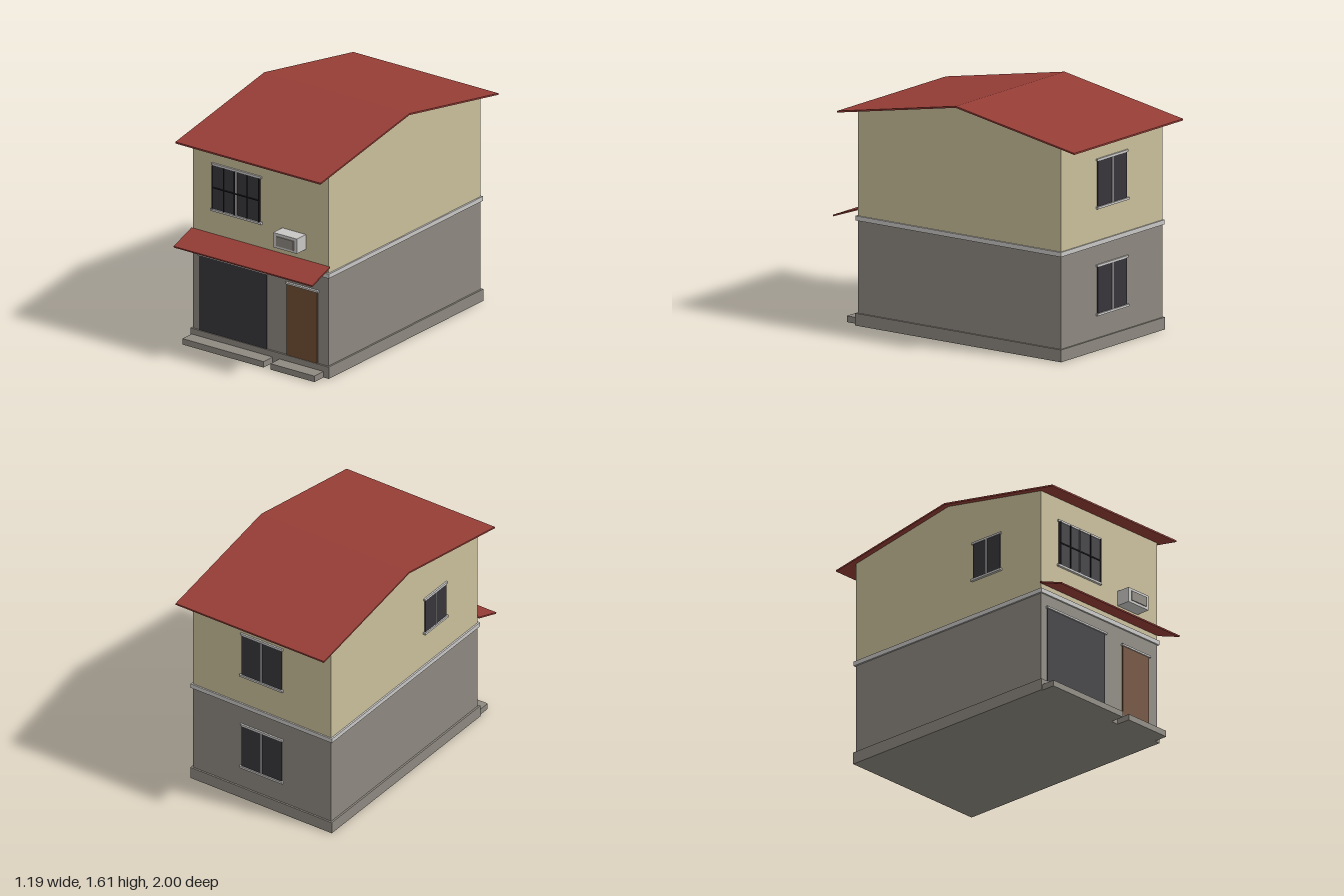
import * as THREE from 'three';

const paint = (name, color) => {
  const m = new THREE.MeshStandardMaterial({ color });
  m.name = name;
  return m;
};

export function createModel() {
  const house = new THREE.Group();
  house.name = 'house';

  const cream = paint('cream plaster', 0xc9be9a);
  const stone = paint('grey masonry', 0x8d8880);
  const trim = paint('pale trim', 0xc8c7c5);
  const red = paint('red roofing', 0x963d36);
  const glass = paint('dark glass', 0x37353b);
  const iron = paint('black iron', 0x1d1d21);
  const wood = paint('brown wood', 0x704d33);

  // Box given by its minimum and maximum on each axis
  function box(name, mat, x0, x1, y0, y1, z0, z1, parent = house) {
    const mesh = new THREE.Mesh(new THREE.BoxGeometry(x1 - x0, y1 - y0, z1 - z0), mat);
    mesh.position.set((x0 + x1) / 2, (y0 + y1) / 2, (z0 + z1) / 2);
    mesh.name = name;
    parent.add(mesh);
    return mesh;
  }

  // Profile of [z, y] points extruded across the width of the house
  function across(name, mat, points, halfWidth) {
    const shape = new THREE.Shape(points.map(([z, y]) => new THREE.Vector2(z, y)));
    const geo = new THREE.ExtrudeGeometry(shape, { depth: halfWidth * 2, bevelEnabled: false });
    geo.rotateY(-Math.PI / 2).translate(halfWidth, 0, 0);
    const mesh = new THREE.Mesh(geo, mat);
    mesh.name = name;
    house.add(mesh);
  }

  const W = 0.555, FRONT = 0.805, BACK = -0.86, RIDGE = -0.0275;

  // Ground floor, plinth, steps and string course
  box('groundFloorWalls', stone, -W, W, 0.083, 0.71, BACK, FRONT);
  box('plinth', stone, -0.568, 0.568, 0, 0.083, -0.872, 0.818);
  box('garageStep', stone, -0.557, 0.108, 0, 0.042, 0.818, 0.918);
  box('doorStep', stone, 0.165, 0.525, 0, 0.042, 0.818, 0.918);
  box('stringCourse', trim, -0.567, 0.567, 0.71, 0.741, -0.87, 0.817);

  // Upper floor with gables
  across('upperFloorWalls', cream, [
    [BACK, 0.741], [FRONT, 0.741], [FRONT, 1.449], [RIDGE, 1.6], [BACK, 1.449],
  ], W);

  // Pitched roof and front awning
  across('roof', red, [
    [-1, 1.425], [RIDGE, 1.6], [0.945, 1.425], [0.945, 1.436], [RIDGE, 1.611], [-1, 1.436],
  ], 0.595);
  across('awning', red, [[FRONT, 0.779], [0.998, 0.711], [1, 0.721], [FRONT, 0.79]], 0.568);

  // Garage shutter and front door
  box('garageDoor', glass, -0.5, 0.052, 0.083, 0.615, FRONT, 0.812);
  box('garageLintel', trim, -0.51, 0.064, 0.614, 0.627, FRONT, 0.822);
  box('frontDoor', wood, 0.22, 0.47, 0.083, 0.587, FRONT, 0.814);
  box('doorLintel', trim, 0.21, 0.48, 0.587, 0.6, FRONT, 0.822);

  // Window facing local +z with its wall plane at z = 0
  function makeWindow(name, width, y0, y1) {
    const g = new THREE.Group();
    g.name = name;
    const h = width / 2;
    box('glass', glass, -h, h, y0, y1, 0, 0.008, g);
    box('mullion', trim, -0.005, 0.005, y0, y1, 0.008, 0.013, g);
    box('head', trim, -h - 0.01, h + 0.01, y1, y1 + 0.014, 0, 0.012, g);
    box('sill', trim, -h - 0.013, h + 0.013, y0 - 0.015, y0, 0, 0.017, g);
    house.add(g);
    return g;
  }

  const frontWindow = makeWindow('frontWindow', 0.39, 0.971, 1.28);
  frontWindow.position.set(-0.195, 0, FRONT);
  // Iron grille over the front window
  for (const x of [-0.191, -0.096, 0, 0.096, 0.191]) {
    const dx = x === 0 ? 0.008 : 0;
    box('grilleBar', iron, x - 0.003 - dx, x + 0.003 - dx, 0.971, 1.28, 0.016, 0.022, frontWindow);
  }
  box('grilleRail', iron, -0.194, 0.194, 1.122, 1.129, 0.014, 0.021, frontWindow);

  for (const [name, y0, y1] of [['upperBackWindow', 0.971, 1.28], ['lowerBackWindow', 0.25, 0.565]]) {
    const w = makeWindow(name, 0.32, y0, y1);
    w.rotation.y = Math.PI;
    w.position.z = BACK;
  }
  const sideWindow = makeWindow('sideWindow', 0.24, 1, 1.25);
  sideWindow.rotation.y = -Math.PI / 2;
  sideWindow.position.set(-W, 0, 0.32);

  // Air conditioner
  box('airConditioner', trim, 0.178, 0.37, 0.866, 0.971, FRONT, 0.904);
  box('airConditionerGrille', stone, 0.205, 0.346, 0.884, 0.951, 0.904, 0.911);

  return house;
}
